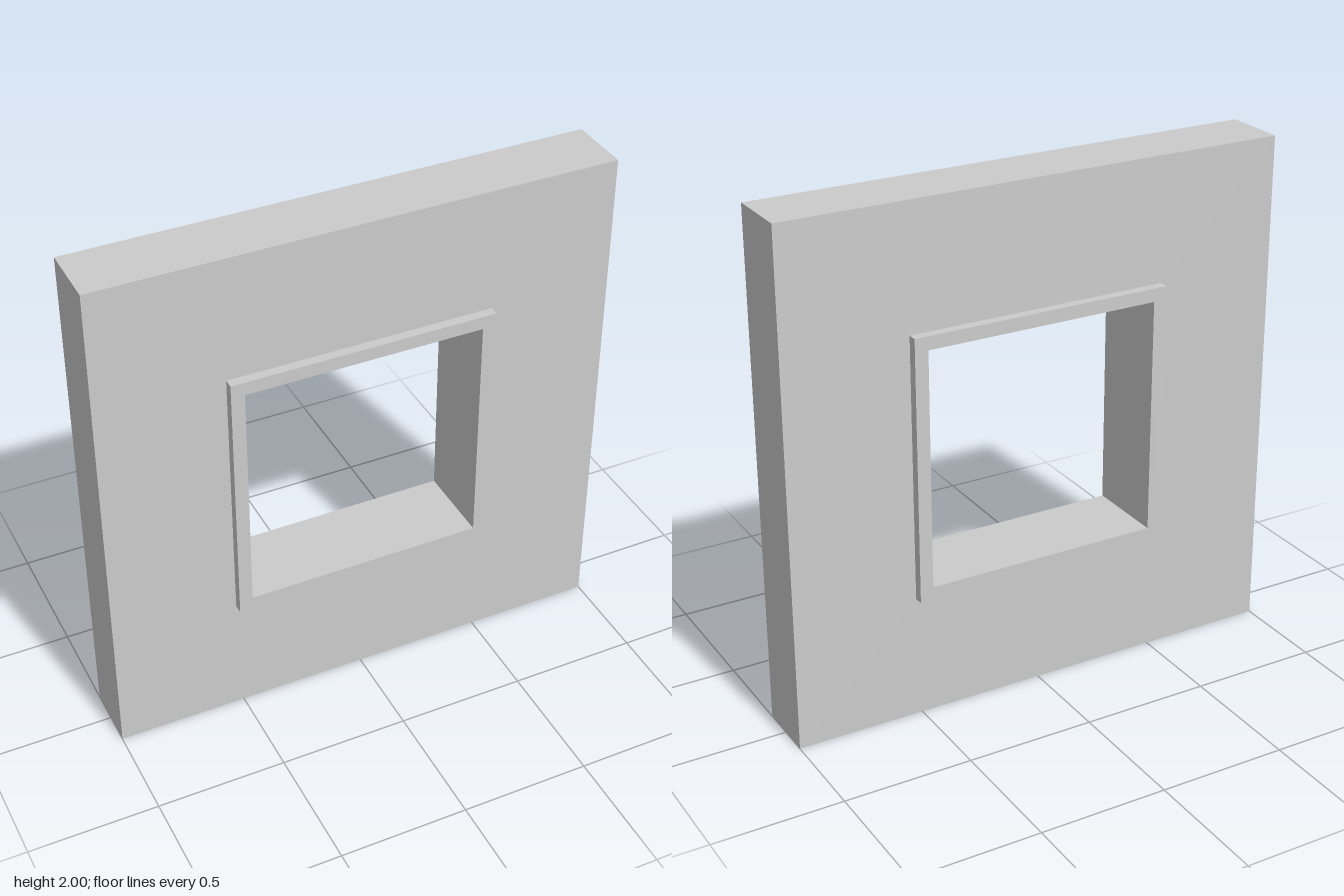
import * as THREE from 'three';

const material = new THREE.MeshStandardMaterial({ color: 0xcccccc, flatShading: true });

// Counter-clockwise square outline centred on the origin
function squarePoints(half) {
  return [[-1, -1], [1, -1], [1, 1], [-1, 1]].map(([x, y]) => new THREE.Vector2(x * half, y * half));
}

// Square slab with a square opening, centred on z = 0
function squareRing(name, outerHalf, innerHalf, depth) {
  const shape = new THREE.Shape(squarePoints(outerHalf));
  shape.holes.push(new THREE.Path(squarePoints(innerHalf).reverse()));
  const geometry = new THREE.ExtrudeGeometry(shape, { depth, bevelEnabled: false });
  geometry.translate(0, 0, -depth / 2);
  const mesh = new THREE.Mesh(geometry, material);
  mesh.name = name;
  mesh.position.y = 1;
  return mesh;
}

export function createModel() {
  const model = new THREE.Group();
  model.name = 'wallWithWindow';
  // Wall panel, cut to fit the frame
  model.add(squareRing('wall', 1, 0.515, 0.25));
  // Frame lining the opening and standing proud on both faces
  model.add(squareRing('windowFrame', 0.515, 0.463, 0.325));
  return model;
}
